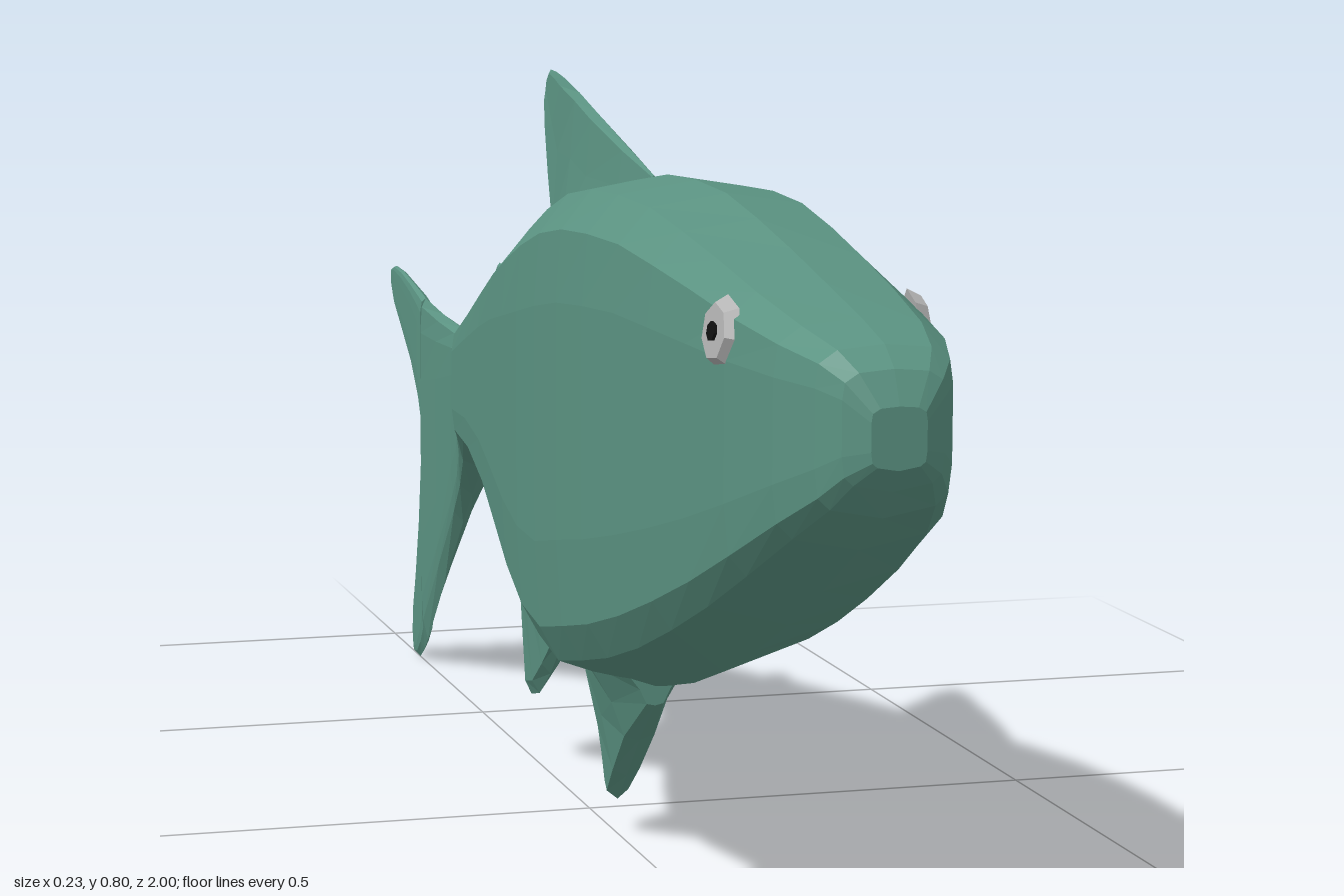
import * as THREE from 'three';

const skin = new THREE.MeshStandardMaterial({ color: 0x5b9382, flatShading: true });
const eyeGrey = new THREE.MeshStandardMaterial({ color: 0xb4b4b4, flatShading: true });
const pupilBlack = new THREE.MeshStandardMaterial({ color: 0x111111, flatShading: true });

// Half cross-sections: [fraction of the way from first edge to second, fraction of half width]
const BODY = [[0, 0], [0.025, 0.68], [0.1, 0.95], [0.24, 1], [0.7, 1], [0.87, 0.95], [0.94, 0.77], [1, 0]];
const FIN = [[0, 0], [0.06, 0.3], [0.5, 0.55], [1, 1]];

// Lofts mirrored sections [z, first edge y, second edge y, half width] from nose to tail
function loft(name, sections, profile) {
  const mirrored = profile.filter(p => p[1] > 0).reverse().map(([t, w]) => [t, -w]);
  const ring = [...profile, ...mirrored];
  const n = ring.length;
  const pos = [];
  const index = [];
  const flip = sections[0][1] < sections[0][2];
  const tri = (a, b, c) => (flip ? index.push(a, c, b) : index.push(a, b, c));

  for (const [z, y0, y1, half] of sections) {
    for (const [t, w] of ring) pos.push(w * half, y0 + (y1 - y0) * t, z);
  }
  for (let i = 0; i < sections.length - 1; i++) {
    for (let j = 0; j < n; j++) {
      const a = i * n + j;
      const b = i * n + (j + 1) % n;
      tri(a, b, a + n);
      tri(b, b + n, a + n);
    }
  }
  // End caps
  [0, sections.length - 1].forEach((s, end) => {
    const [z, y0, y1] = sections[s];
    const centre = pos.length / 3;
    pos.push(0, (y0 + y1) / 2, z);
    for (let j = 0; j < n; j++) {
      const a = s * n + j;
      const b = s * n + (j + 1) % n;
      if (end) tri(centre, a, b);
      else tri(centre, b, a);
    }
  });

  const geometry = new THREE.BufferGeometry();
  geometry.setAttribute('position', new THREE.Float32BufferAttribute(pos, 3));
  geometry.setIndex(index);
  geometry.computeVertexNormals();
  const mesh = new THREE.Mesh(geometry, skin);
  mesh.name = name;
  return mesh;
}

export function createModel() {
  const fish = new THREE.Group();
  fish.name = 'fish';

  // Body, thinning into the base of the tail fin
  fish.add(loft('body', [
    [1, 0.59, 0.535, 0.025], [0.985, 0.62, 0.515, 0.046], [0.96, 0.638, 0.488, 0.062],
    [0.9, 0.653, 0.45, 0.08], [0.8, 0.673, 0.395, 0.093], [0.7, 0.693, 0.345, 0.1],
    [0.6, 0.711, 0.3, 0.107], [0.5, 0.726, 0.26, 0.112], [0.4, 0.73, 0.228, 0.116],
    [0.3, 0.727, 0.204, 0.116], [0.2, 0.714, 0.183, 0.113], [0.1, 0.688, 0.193, 0.107],
    [0, 0.656, 0.225, 0.098], [-0.1, 0.622, 0.265, 0.087], [-0.2, 0.582, 0.305, 0.076],
    [-0.3, 0.537, 0.338, 0.068], [-0.4, 0.497, 0.35, 0.06], [-0.45, 0.48, 0.336, 0.045],
    [-0.5, 0.468, 0.306, 0.03], [-0.55, 0.464, 0.265, 0.02], [-0.6, 0.464, 0.222, 0.015],
    [-0.7, 0.469, 0.13, 0.011], [-0.8, 0.478, 0.035, 0.008],
  ], BODY));

  // Forked tail lobes
  fish.add(loft('upperTailLobe', [
    [-0.8, 0.478, 0.3, 0.008], [-0.82, 0.482, 0.338, 0.008], [-0.87, 0.49, 0.383, 0.006],
    [-0.93, 0.499, 0.422, 0.005], [-0.975, 0.501, 0.45, 0.004], [-1, 0.494, 0.475, 0.002],
  ], BODY));
  fish.add(loft('lowerTailLobe', [
    [-0.8, 0.3, 0.035, 0.008], [-0.82, 0.205, 0.018, 0.007], [-0.845, 0.125, 0.004, 0.006],
    [-0.865, 0.075, 0.005, 0.005], [-0.877, 0.045, 0.022, 0.003],
  ], BODY));

  // Back fins
  fish.add(loft('dorsalFin', [
    [0.25, 0.722, 0.69, 0.006], [0.15, 0.744, 0.66, 0.018], [0.03, 0.771, 0.635, 0.022],
    [-0.04, 0.787, 0.645, 0.02], [-0.11, 0.8, 0.638, 0.013], [-0.14, 0.804, 0.69, 0.01],
    [-0.165, 0.805, 0.74, 0.007], [-0.18, 0.793, 0.77, 0.004],
  ], FIN));
  fish.add(loft('adiposeFin', [
    [-0.3, 0.54, 0.51, 0.006], [-0.35, 0.552, 0.49, 0.012], [-0.38, 0.562, 0.5, 0.012],
    [-0.405, 0.565, 0.507, 0.009], [-0.42, 0.555, 0.535, 0.004],
  ], FIN));

  // Belly fins
  fish.add(loft('pelvicFin', [
    [0.26, 0.175, 0.21, 0.03], [0.2, 0.125, 0.21, 0.055], [0.15, 0.075, 0.21, 0.05],
    [0.115, 0.042, 0.205, 0.04], [0.095, 0.05, 0.2, 0.03], [0.08, 0.1, 0.16, 0.012],
    [0.074, 0.12, 0.145, 0.005],
  ], FIN));
  fish.add(loft('analFin', [
    [-0.03, 0.23, 0.26, 0.015], [-0.1, 0.18, 0.29, 0.03], [-0.17, 0.12, 0.32, 0.035],
    [-0.22, 0.087, 0.335, 0.03], [-0.258, 0.078, 0.35, 0.025], [-0.27, 0.165, 0.355, 0.025],
    [-0.29, 0.24, 0.36, 0.025], [-0.33, 0.29, 0.365, 0.025], [-0.39, 0.325, 0.37, 0.02],
    [-0.44, 0.334, 0.36, 0.012],
  ], FIN));

  // Eyes on both sides, tilted with the curve of the head
  for (const side of [1, -1]) {
    const eye = new THREE.Group();
    eye.name = side > 0 ? 'leftEye' : 'rightEye';
    const disc = new THREE.Mesh(new THREE.CylinderGeometry(0.026, 0.034, 0.012, 7), eyeGrey);
    disc.name = 'eyeball';
    const pupil = new THREE.Mesh(new THREE.CylinderGeometry(0.009, 0.009, 0.004, 7), pupilBlack);
    pupil.name = 'pupil';
    pupil.position.y = 0.007;
    eye.add(disc, pupil);
    eye.position.set(side * 0.093, 0.63, 0.785);
    const outward = new THREE.Vector3(side, 0.12, 0.1).normalize();
    eye.quaternion.setFromUnitVectors(new THREE.Vector3(0, 1, 0), outward);
    fish.add(eye);
  }
  return fish;
}
